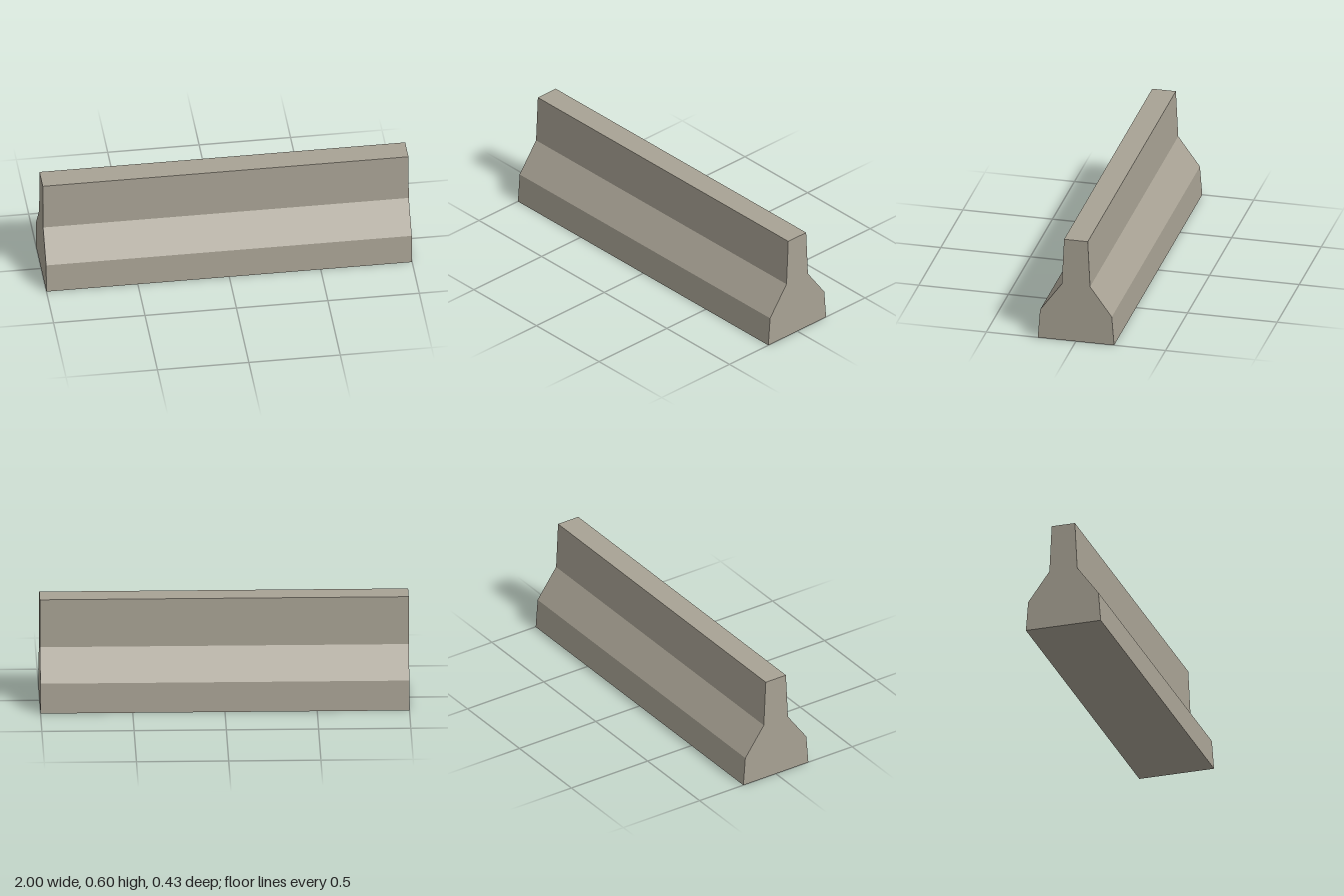
import * as THREE from 'three';

export function createModel() {
  const group = new THREE.Group();
  group.name = 'roadBarrier';

  const concrete = new THREE.MeshStandardMaterial({ color: 0xa8a294 });
  concrete.name = 'concrete';

  // Half profile (half depth, height) from foot to top, mirrored to close the section
  const half = [[0.213, 0], [0.2, 0.167], [0.079, 0.334], [0.066, 0.602]];
  const section = [...half, ...half.map(([d, h]) => [-d, h]).reverse()];
  const shape = new THREE.Shape(section.map(([d, h]) => new THREE.Vector2(d, h)));

  // Barrier body: the section swept along x
  const length = 2;
  const geometry = new THREE.ExtrudeGeometry(shape, { depth: length, bevelEnabled: false });
  geometry.translate(0, 0, -length / 2);
  geometry.rotateY(Math.PI / 2);

  const body = new THREE.Mesh(geometry, concrete);
  body.name = 'barrierBody';
  group.add(body);
  return group;
}
